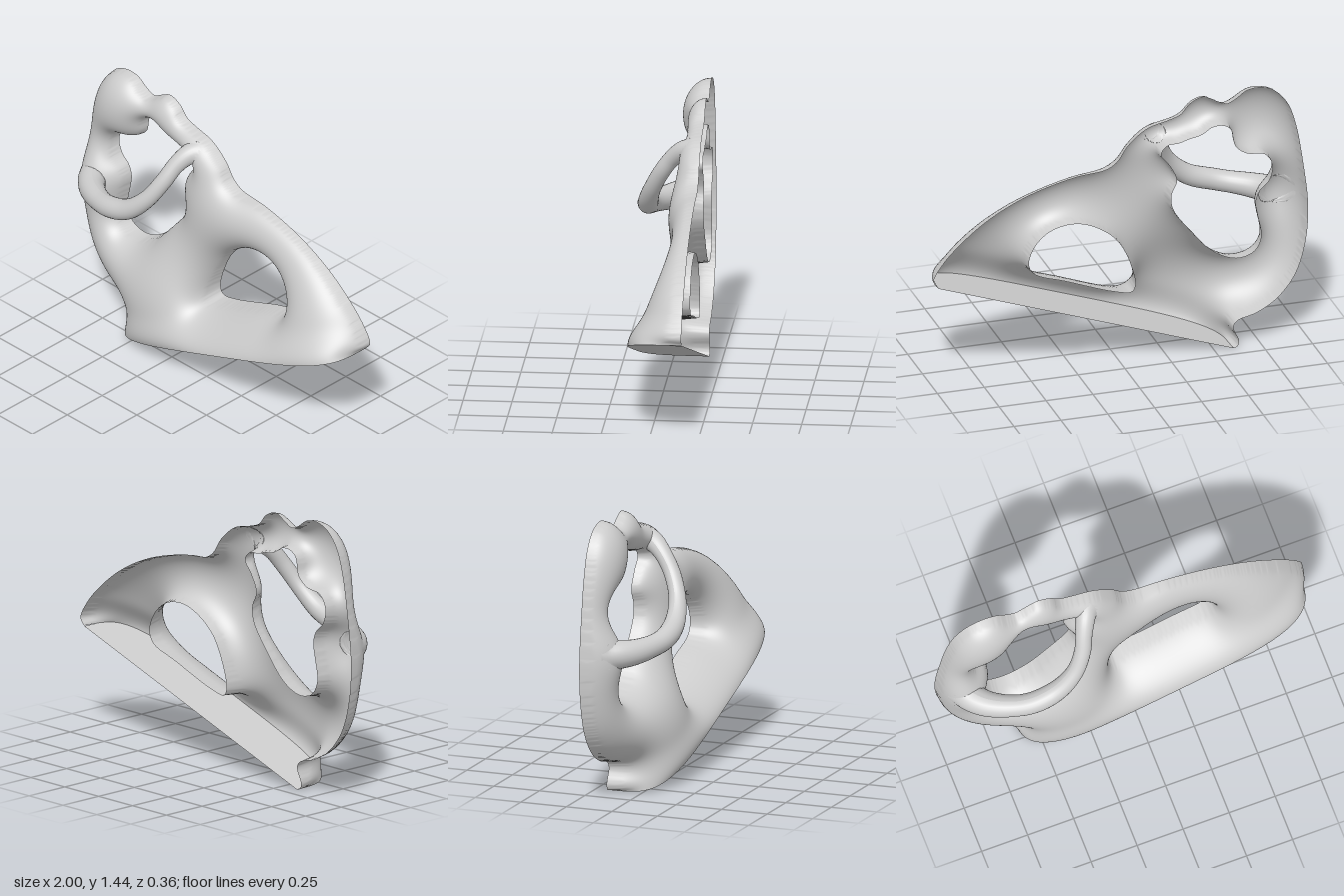
import * as THREE from 'three';

const BACK = -0.18; // plane of the open back
const H = 0.008; // grid step
const DEPTH = 0.315; // depth of the base

// Outlines as x, y pairs
const OUTER = [0.97, 0.55, 0.998, 0.59, 0.95, 0.68, 0.85, 0.785, 0.7, 0.9, 0.5, 1.0, 0.25, 1.07, 0.08, 1.09,
  0.02, 1.125, -0.04, 1.21, -0.14, 1.29, -0.25, 1.32, -0.32, 1.345, -0.37, 1.4, -0.44, 1.427, -0.5, 1.4, -0.56, 1.37,
  -0.61, 1.39, -0.67, 1.43, -0.74, 1.438, -0.82, 1.41, -0.89, 1.33, -0.935, 1.2, -0.97, 1, -0.998, 0.75, -0.985, 0.55,
  -0.93, 0.37, -0.83, 0.245, -0.72, 0.18, -0.62, 0.15, -0.6, 0.115, -0.63, 0.04, -0.622, 0.008, -0.6, 0];
const GAP = [-0.55, 1.25, -0.59, 1.22, -0.61, 1.13, -0.67, 1.08, -0.77, 1.06, -0.81, 0.99, -0.79, 0.91, -0.74, 0.86,
  -0.72, 0.8, -0.73, 0.73, -0.75, 0.6, -0.71, 0.525, -0.62, 0.5, -0.5, 0.55, -0.38, 0.68, -0.28, 0.82, -0.27, 0.9,
  -0.3, 0.98, -0.26, 1.07, -0.215, 1.135, -0.25, 1.18, -0.31, 1.185, -0.36, 1.2, -0.43, 1.215, -0.49, 1.25];
const ARCH = [-0.08, 0.43, -0.06, 0.39, 0.02, 0.4, 0.3, 0.5, 0.46, 0.56, 0.49, 0.62, 0.46, 0.71, 0.38, 0.785,
  0.26, 0.812, 0.15, 0.785, 0.03, 0.7, -0.04, 0.58];

const A = new THREE.Vector2(-0.6, 0), B = new THREE.Vector2(0.97, 0.55); // ends of the sloping underside
const { smoothstep, clamp } = THREE.MathUtils;

function outline(list, closed) {
  const pts = [];
  for (let i = 0; i < list.length; i += 2) pts.push(new THREE.Vector3(list[i], list[i + 1], 0));
  return new THREE.CatmullRomCurve3(pts, closed, 'centripetal').getPoints(pts.length * 5);
}

// Depth of the underside along its length, with rounded ends
const baseDepth = t => DEPTH * Math.pow(Math.max(0, 1 - Math.pow(Math.abs(2 * t - 1), 4)), 0.25);

// How strongly each region swells: full heads, back and base rim, a valley above the rim, slimmer legs and chest
function swell(x, y) {
  const bump = (cx, cy, r) => Math.exp(-((x - cx) ** 2 + (y - cy) ** 2) / (r * r));
  const body = 1.3 + 1.1 * smoothstep(y, 1.08, 1.2) + 1.1 * smoothstep(-x, 0.6, 0.75) + 0.9 * (1 - smoothstep(y, 0.4, 0.6));
  const above = ((y - A.y) * (B.x - A.x) - (x - A.x) * (B.y - A.y)) / A.distanceTo(B);
  const rim = 6 * Math.exp(-((above / 0.07) ** 2)) - 2.5 * Math.exp(-(((above - 0.14) / 0.05) ** 2));
  return Math.min(2.4, body) + rim + 3.5 * bump(-0.87, 0.78, 0.1) + 2 * bump(-0.19, 1.23, 0.07);
}

// Signed distance to the outlines (positive inside) and the nearest outline point
function nearest(x, y, segments) {
  let best = Infinity, inside = false, px = 0, py = 0, bottom = false;
  for (const [a, b, isBottom] of segments) {
    const dx = b.x - a.x, dy = b.y - a.y;
    const t = clamp(((x - a.x) * dx + (y - a.y) * dy) / (dx * dx + dy * dy || 1), 0, 1);
    const qx = a.x + t * dx, qy = a.y + t * dy, d = Math.hypot(x - qx, y - qy);
    if (d < best) { best = d; px = qx; py = qy; bottom = isBottom; }
    if ((a.y > y) !== (b.y > y) && x < a.x + (y - a.y) / dy * dx) inside = !inside;
  }
  return { d: inside ? best : -best, px, py, bottom };
}

// Round half shell: a grid snapped to the outlines and inflated like a membrane
function buildFigures() {
  const segments = [];
  const add = pts => { for (let i = 1; i < pts.length; i++) segments.push([pts[i - 1], pts[i], false]); };
  const rim = outline(OUTER, false);
  add(rim);
  segments.push([rim[rim.length - 1], rim[0], true]);
  add(outline(GAP, true));
  add(outline(ARCH, true));

  const nx = 258, ny = 188, pos = new Float32Array(nx * ny * 3), u = new Float64Array(nx * ny);
  const kind = new Int8Array(nx * ny); // 0 outside, 1 rim, 2 inside
  for (let j = 0; j < ny; j++) for (let i = 0; i < nx; i++) {
    const k = j * nx + i;
    let x = -1.025 + i * H, y = -0.025 + j * H;
    const n = nearest(x, y, segments);
    if (Math.abs(n.d) <= H / 2) {
      kind[k] = 1;
      x = n.px; y = n.py;
      if (n.bottom) u[k] = baseDepth((x - A.x) / (B.x - A.x)) ** 2;
    } else if (n.d > 0) kind[k] = 2;
    pos[k * 3] = x;
    pos[k * 3 + 1] = y;
  }

  // Relax the squared depth
  const nodes = [];
  for (let k = 0; k < nx * ny; k++) if (kind[k] === 2) {
    const ids = [k + 1, k - 1, k + nx, k - nx];
    const len = ids.map(q => Math.hypot(pos[q * 3] - pos[k * 3], pos[q * 3 + 1] - pos[k * 3 + 1]));
    const w = len.map((l, i) => 2 / (l * (l + len[i ^ 1])));
    nodes.push({ k, ids, w, sum: w[0] + w[1] + w[2] + w[3], source: swell(pos[k * 3], pos[k * 3 + 1]) });
  }
  for (let pass = 0; pass < 700; pass++) for (const { k, ids, w, sum, source } of nodes) {
    let s = source;
    for (let i = 0; i < 4; i++) s += w[i] * u[ids[i]];
    u[k] += 1.88 * (s / sum - u[k]);
  }
  for (let k = 0; k < nx * ny; k++) pos[k * 3 + 2] = BACK + Math.sqrt(Math.max(0, u[k]));

  // Faces, keeping only those within the outlines
  const index = [];
  const tri = (a, b, c) => {
    if (!kind[a] || !kind[b] || !kind[c]) return;
    if (kind[a] + kind[b] + kind[c] === 3) {
      const mid = o => (pos[a * 3 + o] + pos[b * 3 + o] + pos[c * 3 + o]) / 3;
      if (nearest(mid(0), mid(1), segments).d <= 0) return;
    }
    index.push(a, b, c);
  };
  for (let j = 0; j < ny - 1; j++) for (let i = 0; i < nx - 1; i++) {
    const a = j * nx + i, b = a + 1, c = b + nx, d = a + nx;
    if (kind[a] && kind[c]) { tri(a, b, c); tri(a, c, d); }
    else { tri(a, b, d); tri(b, c, d); }
  }
  // Drop unused grid points
  const map = new Map(), kept = [];
  const packed = index.map(k => {
    if (!map.has(k)) { map.set(k, map.size); kept.push(pos[k * 3], pos[k * 3 + 1], pos[k * 3 + 2]); }
    return map.get(k);
  });
  const geometry = new THREE.BufferGeometry();
  geometry.setAttribute('position', new THREE.Float32BufferAttribute(kept, 3));
  geometry.setIndex(packed);
  geometry.computeVertexNormals();
  const surfaceAt = (x, y) => pos[(Math.round((y + 0.025) / H) * nx + Math.round((x + 1.025) / H)) * 3 + 2];
  return { geometry, surfaceAt };
}

// Flat sloping underside
function undersideGeometry() {
  const n = 120, g = new THREE.PlaneGeometry(1, 1, n, 1), p = g.attributes.position;
  for (let i = 0; i < p.count; i++) {
    const t = (1 - Math.cos(Math.PI * (p.getX(i) + 0.5))) / 2;
    const q = A.clone().lerp(B, t);
    p.setXYZ(i, q.x, q.y, BACK + (p.getY(i) > 0 ? baseDepth(t) : 0));
  }
  g.computeVertexNormals();
  return g;
}

// Arm reaching forward across the gap; its ends flatten onto the shell so nothing shows inside
function armGeometry(surfaceAt) {
  const path = new THREE.CatmullRomCurve3([
    [-0.895, 0.785, -0.11], [-0.845, 0.785, -0.02], [-0.765, 0.79, 0.05], [-0.6, 0.815, 0.116], [-0.45, 0.865, 0.118],
    [-0.34, 0.965, 0.09], [-0.275, 1.08, 0.035], [-0.245, 1.165, -0.025], [-0.215, 1.215, -0.085], [-0.18, 1.235, -0.15],
  ].map(p => new THREE.Vector3(...p)));
  const rings = 80, sides = 24, g = new THREE.TubeGeometry(path, rings, 1, sides), p = g.attributes.position;
  const v = new THREE.Vector3();
  for (let i = 0; i <= rings; i++) {
    const t = i / rings, c = path.getPointAt(t);
    const r = 0.056 - 0.013 * smoothstep(t, 0.4, 0.7) + 0.028 * Math.pow(Math.max(0, 1 - t / 0.3), 1.3) + 0.014 * smoothstep(t, 0.82, 1);
    for (let s = 0; s <= sides; s++) {
      const k = i * (sides + 1) + s;
      v.fromBufferAttribute(p, k).sub(c).multiplyScalar(r).add(c);
      p.setXYZ(k, v.x, v.y, Math.max(v.z, surfaceAt(v.x, v.y) - 0.002));
    }
  }
  g.computeVertexNormals();
  return g;
}

export function createModel() {
  const group = new THREE.Group();
  group.name = 'embracingFigures';
  const material = new THREE.MeshStandardMaterial({ color: 0xcccccc, side: THREE.DoubleSide });
  const add = (name, geometry) => {
    const mesh = new THREE.Mesh(geometry, material);
    mesh.name = name;
    group.add(mesh);
  };
  const figures = buildFigures();
  add('figures', figures.geometry);
  add('underside', undersideGeometry());
  add('arm', armGeometry(figures.surfaceAt));
  return group;
}
